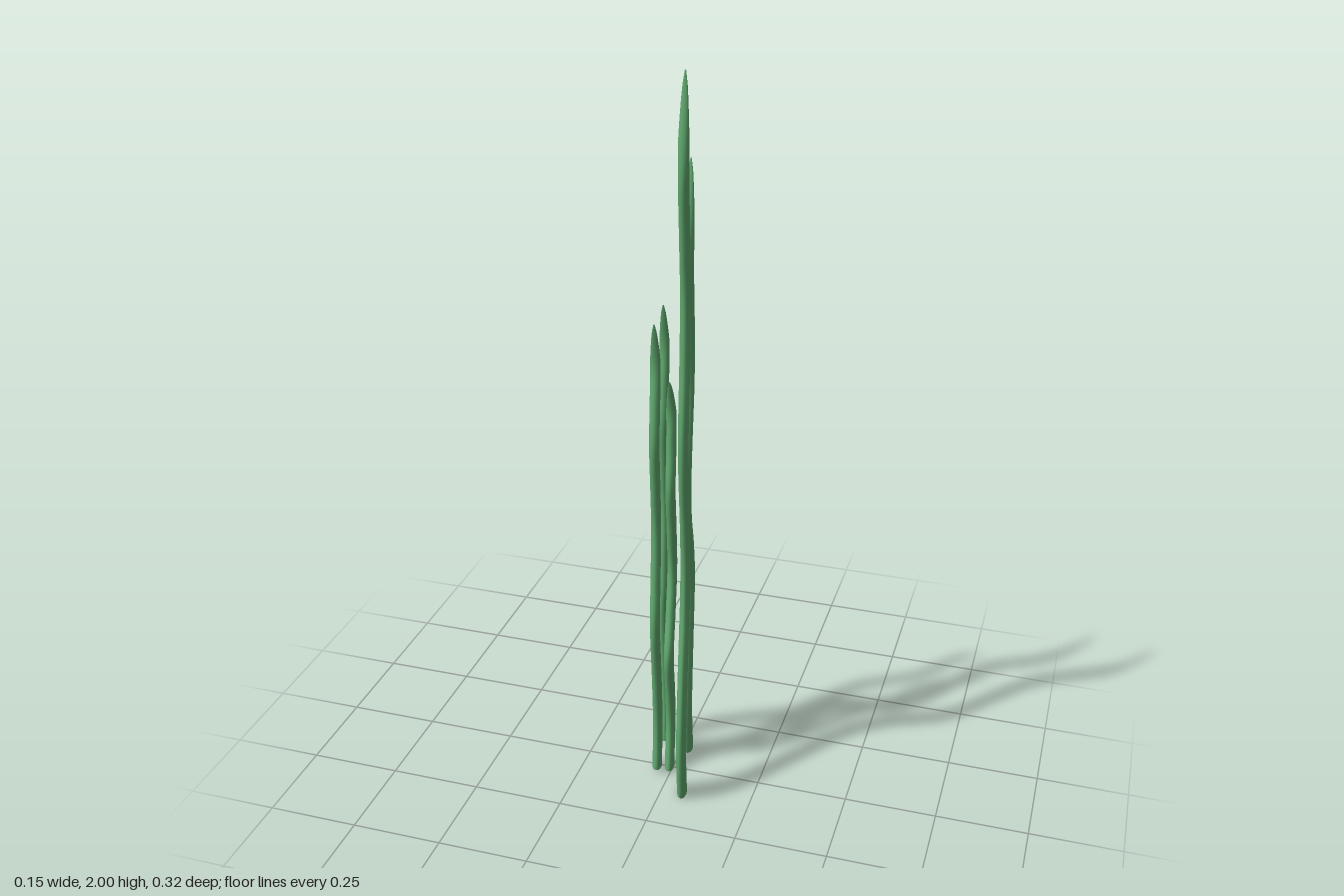
import * as THREE from 'three';
import { mergeVertices } from 'three/addons/utils/BufferGeometryUtils.js';

const LEAN = 0.19; // sideways drift per unit of depth: all blades sway in one slanted plane

// Wavy blade: an oval tube following [height, depth] points, tapering to a flat-edged tip
function bladeGeometry(x0, z0, width, path) {
  const curve = new THREE.CatmullRomCurve3(
    path.map(([y, z]) => new THREE.Vector3(x0 + (z - z0) * LEAN, y, z)));
  const height = path[path.length - 1][0];
  // Weld the side seam while the cap rims stay separate and sharp
  const tube = new THREE.CylinderGeometry(1, 1, 1, 16, 64);
  tube.deleteAttribute('uv');
  const geometry = mergeVertices(tube);
  const pos = geometry.attributes.position;
  const angle = Math.atan(LEAN), c = Math.cos(angle), s = Math.sin(angle);
  for (let i = 0; i < pos.count; i++) {
    const p = curve.getPointAt(THREE.MathUtils.clamp(pos.getY(i) + 0.5, 0, 1));
    const t = THREE.MathUtils.clamp(p.y / height, 0, 1);
    const tip = Math.min(1, (1 - t) / 0.13);
    const a = pos.getZ(i) * Math.max(0.0006, width / 2 * (1 - 0.42 * t) * tip);
    const b = pos.getX(i) * Math.max(0.0015, 0.0135 * Math.sqrt(Math.min(1, (1 - t) / 0.08)));
    pos.setXYZ(i, p.x + a * s + b * c, p.y, p.z + a * c - b * s);
  }
  geometry.computeVertexNormals();
  return geometry;
}

export function createModel() {
  const group = new THREE.Group();
  const green = new THREE.MeshStandardMaterial({ color: 0x5fa66d });
  green.name = 'weedGreen';

  // Two short blades share this sway, given relative to their own depth
  const shortSway = [[0.01, -0.008], [0.15, -0.025], [0.3, -0.008], [0.5, 0.027], [0.62, 0.01],
    [0.78, -0.011], [0.9, 0.002], [1.03, 0.019], [1.13, 0.004], [1.23, -0.013], [1.36, 0.012]];
  const shortPath = z => shortSway.map(([y, d]) => [y, z + d]);

  const blades = [
    ['tallBlade', 0.054, 0.083, 0.064, [[0, 0.1], [0.1, 0.123], [0.2, 0.129], [0.4, 0.09],
      [0.58, 0.042], [0.7, 0.032], [0.82, 0.048], [1, 0.09], [1.1, 0.096], [1.3, 0.065],
      [1.45, 0.055], [1.6, 0.08], [1.76, 0.108], [1.86, 0.104], [2, 0.075]]],
    ['upperBlade', 0.022, -0.068, 0.062, [[0, -0.105], [0.1, -0.076], [0.2, -0.067], [0.4, -0.1],
      [0.56, -0.126], [0.68, -0.09], [0.8, -0.027], [0.9, -0.012], [1, -0.03], [1.17, -0.08],
      [1.3, -0.08], [1.45, -0.053], [1.56, -0.05], [1.65, -0.065], [1.75, -0.095]]],
    ['frontShortBlade', -0.04, 0.0255, 0.05, shortPath(0.0255)],
    ['backShortBlade', -0.059, -0.112, 0.05, shortPath(-0.112)],
    ['middleBlade', -0.013, -0.02, 0.056, [[0.01, 0.01], [0.15, -0.022], [0.25, -0.01],
      [0.39, 0.022], [0.5, -0.022], [0.62, -0.062], [0.75, -0.045], [0.88, -0.02],
      [1, -0.04], [1.09, -0.04], [1.19, -0.005]]],
  ];
  for (const [name, x, z, width, path] of blades) {
    const mesh = new THREE.Mesh(bladeGeometry(x, z, width, path), green);
    mesh.name = name;
    group.add(mesh);
  }
  return group;
}
